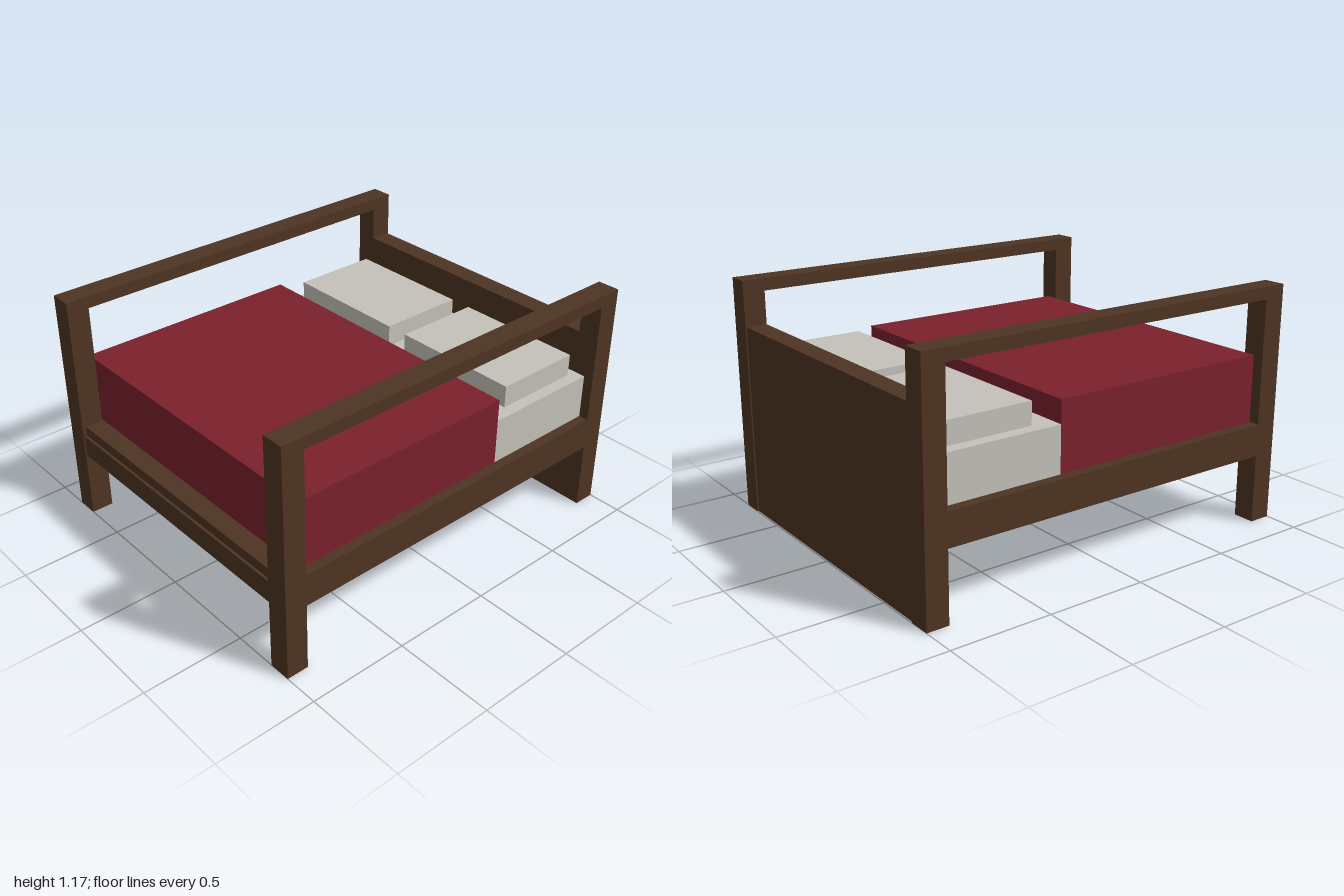
import * as THREE from 'three';

function material(name, color) {
  const m = new THREE.MeshStandardMaterial({ color });
  m.name = name;
  return m;
}

export function createModel() {
  const wood = material('dark wood', 0x4e3423);
  const red = material('red blanket', 0x7a212d);
  const linen = material('pale linen', 0xc3c1b9);

  const bed = new THREE.Group();
  bed.name = 'bed';

  // Box from its minimum and maximum corners
  function box(name, mat, [x0, y0, z0], [x1, y1, z1]) {
    const geometry = new THREE.BoxGeometry(x1 - x0, y1 - y0, z1 - z0);
    const mesh = new THREE.Mesh(geometry, mat);
    mesh.position.set((x0 + x1) / 2, (y0 + y1) / 2, (z0 + z1) / 2);
    mesh.name = name;
    bed.add(mesh);
  }

  const outer = 0.83, inner = 0.72, post = 0.89;

  for (const side of [-1, 1]) {
    const label = side > 0 ? 'left' : 'right';
    const xs = [side * inner, side * outer].sort((a, b) => a - b);

    // Corner posts, with a rail joining their tops
    box(label + 'FrontPost', wood, [xs[0], 0, post], [xs[1], 1.11, 1]);
    box(label + 'BackPost', wood, [xs[0], 0, -1], [xs[1], 1.11, -post]);
    box(label + 'TopRail', wood, [xs[0], 1.11, -1], [xs[1], 1.17, 1]);

    // Pillows
    const ps = [side * 0.055, side * inner].sort((a, b) => a - b);
    box(label + 'Pillow', linen, [ps[0], 0.72, -0.84], [ps[1], 0.835, -0.39]);
  }

  // Platform, headboard and stepped foot rail
  box('platform', wood, [-outer, 0.34, -post], [outer, 0.5, post]);
  box('headboard', wood, [-inner, 0, -0.993], [inner, 0.945, -post]);
  box('footRail', wood, [-inner, 0.34, post], [inner, 0.45, 0.993]);
  box('footRailCap', wood, [-inner, 0.45, post], [inner, 0.5, 0.98]);

  // Bedding
  box('mattress', linen, [-0.78, 0.5, -post], [0.78, 0.725, -0.28]);
  box('blanket', red, [-0.78, 0.5, -0.28], [0.78, 0.835, 0.885]);

  return bed;
}
